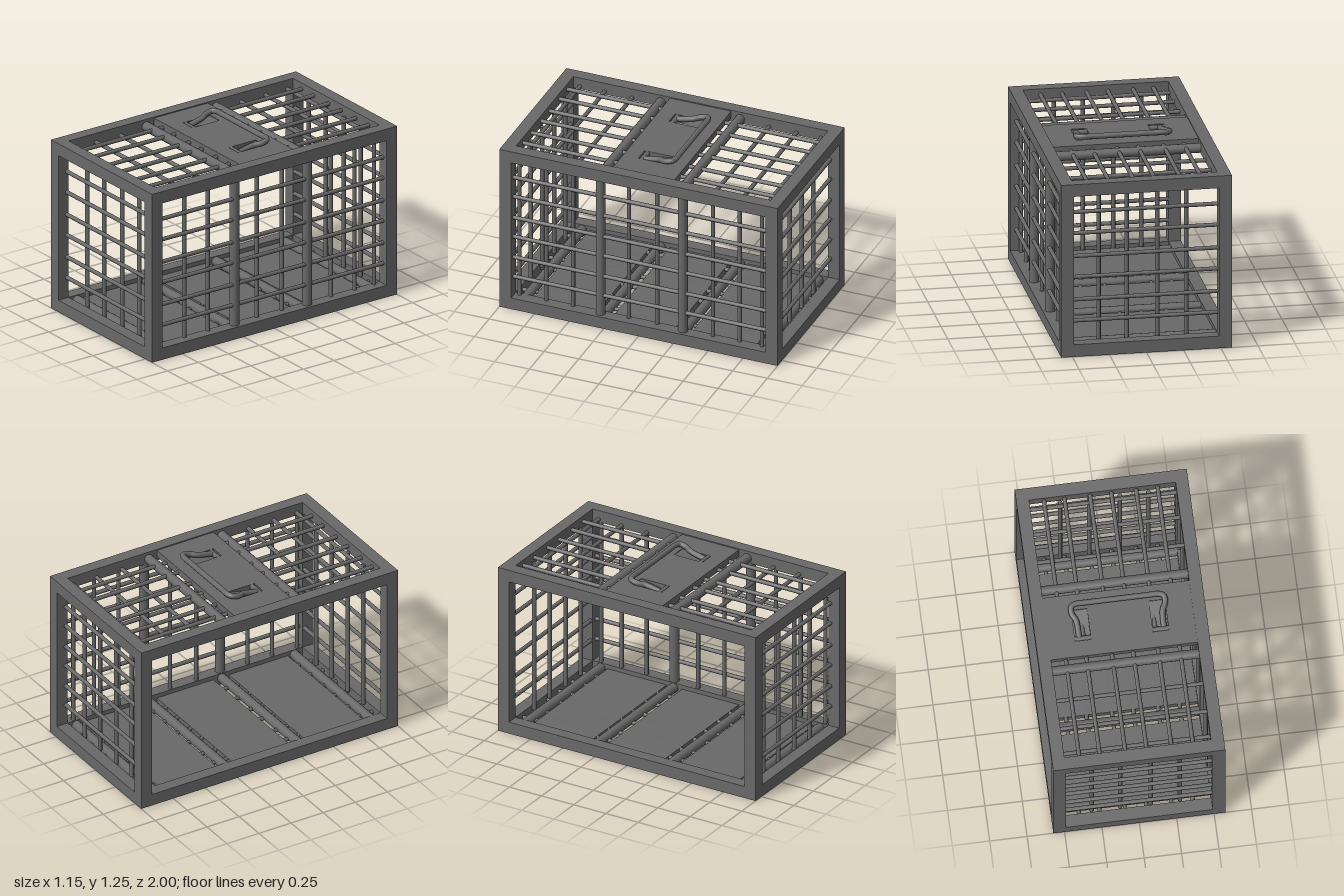
import * as THREE from 'three';

const metal = new THREE.MeshStandardMaterial({ color: 0x696969 });
metal.name = 'dark grey metal';

const W = 0.575, H = 1.21, D = 1; // half width, height, half depth
const B = 0.085;                  // frame beam thickness
const R = 0.014, THICK = 0.033;   // thin and thick rod radii

function add(parent, name, geometry, x = 0, y = 0, z = 0) {
  const mesh = new THREE.Mesh(geometry, metal);
  mesh.name = name;
  mesh.position.set(x, y, z);
  parent.add(mesh);
  return mesh;
}

function box(parent, name, w, h, d, x, y, z) {
  return add(parent, name, new THREE.BoxGeometry(w, h, d), x, y, z);
}

// Straight rod centred on a point and running along one axis
function rod(parent, name, axis, length, radius, x, y, z) {
  const g = new THREE.CylinderGeometry(radius, radius, length, 12);
  if (axis === 'x') g.rotateZ(Math.PI / 2);
  if (axis === 'z') g.rotateX(Math.PI / 2);
  return add(parent, name, g, x, y, z);
}

function group(parent, name) {
  const g = new THREE.Group();
  g.name = name;
  parent.add(g);
  return g;
}

export function createModel() {
  const model = new THREE.Group();
  model.name = 'cage';
  const sides = [-1, 1];

  // Twelve beams of the outer frame
  const frame = group(model, 'frame');
  for (const s of sides) {
    for (const y of [B / 2, H - B / 2]) {
      box(frame, 'longBeam', B, B, 2 * D, s * (W - B / 2), y, 0);
      box(frame, 'crossBeam', 2 * (W - B), B, B, 0, y, s * (D - B / 2));
    }
    for (const t of sides)
      box(frame, 'cornerPost', B, H - 2 * B, B, s * (W - B / 2), H / 2, t * (D - B / 2));
  }

  const heights = [0.231, 0.379, 0.537, 0.684, 0.845, 0.993];
  const innerW = 2 * (W - B) + 0.02, innerH = H - 2 * B + 0.04, innerD = 2 * (D - B) + 0.02;

  // Front and back grilles, one the half turn of the other
  for (const s of sides) {
    const wall = group(model, s > 0 ? 'frontGrille' : 'backGrille');
    for (const y of heights) rod(wall, 'horizontalRod', 'x', innerW, R, 0, y, s * 0.93);
    for (const x of [-0.305, -0.115, 0.09, 0.285])
      rod(wall, 'verticalRod', 'y', innerH, 0.015, s * x, H / 2, s * 0.895);
  }

  // Left side grille; the opposite side is the open doorway
  const side = group(model, 'sideGrille');
  for (const y of heights) rod(side, 'horizontalRod', 'z', innerD, R, 0.533, y, 0);
  for (const z of [0.882, 0.689, 0.497, 0.097, -0.107, -0.507, -0.7, -0.86])
    rod(side, 'verticalRod', 'y', innerH, R, 0.508, H / 2, z);
  for (const z of [0.292, -0.3]) rod(side, 'thickRod', 'y', innerH, THICK, 0.525, H / 2, z);

  // Roof and floor grilles
  const lengthwise = [-0.39, -0.253, -0.082, 0.06, 0.226, 0.37];
  const roof = group(model, 'roofGrille');
  const floor = group(model, 'floor');
  for (const x of lengthwise) {
    rod(roof, 'lengthRod', 'z', innerD, R, x, 1.168, 0);
    rod(floor, 'lengthRod', 'z', innerD, R, x, 0.042, 0);
  }
  for (const s of sides) {
    for (const z of [0.1, 0.492, 0.69, 0.868])
      rod(roof, 'crossRod', 'x', innerW, R, 0, 1.145, s * z);
    rod(roof, 'thickRod', 'x', innerW, THICK, 0, 1.16, s * 0.285);
    for (const z of [0.285, 0.85]) rod(floor, 'thickRod', 'x', innerW, THICK, 0, 0.05, s * z);
  }

  // Floor plates with slots between them
  for (const [z, depth] of [[-0.57, 0.46], [0, 0.44], [0.57, 0.46]])
    box(floor, 'floorPlate', innerW, 0.05, depth, 0, 0.03, z);

  // Roof plate with two recesses for the handle
  const top = group(model, 'handlePlate');
  const outline = new THREE.Shape();
  const px = W - B, pz = 0.22;
  outline.moveTo(-px, -pz).lineTo(px, -pz).lineTo(px, pz).lineTo(-px, pz).closePath();
  for (const s of sides) {
    const hole = new THREE.Path();
    const a = s * 0.26 - 0.053, b = s * 0.26 + 0.053;
    hole.moveTo(a, -0.11).lineTo(a, 0.11).lineTo(b, 0.11).lineTo(b, -0.11).closePath();
    outline.holes.push(hole);
  }
  const plate = new THREE.ExtrudeGeometry(outline, { depth: 0.05, bevelEnabled: false });
  plate.rotateX(-Math.PI / 2);
  add(top, 'roofPlate', plate, 0, 1.153, 0);

  // Sloped recess floors and hinge pins
  for (const s of sides) {
    const ramp = box(top, 'recessFloor', 0.106, 0.006, 0.222, s * 0.26, 1.175, 0);
    ramp.rotation.x = 0.2;
    rod(top, 'hingePin', 'x', 0.106, 0.018, s * 0.26, 1.186, 0.09);
  }

  // Bent carrying handle, tilted upwards to the back
  const half = [
    [0.283, 1.188, 0.08], [0.285, 1.205, 0.0], [0.29, 1.213, -0.035], [0.312, 1.222, -0.08],
    [0.31, 1.233, -0.125], [0.28, 1.235, -0.141], [0.2, 1.235, -0.142],
  ];
  const points = [...half, ...half.slice().reverse().map(([x, y, z]) => [-x, y, z])]
    .map((p) => new THREE.Vector3(...p));
  const path = new THREE.CatmullRomCurve3(points, false, 'centripetal');
  add(top, 'handle', new THREE.TubeGeometry(path, 80, 0.019, 12, false));

  return model;
}
